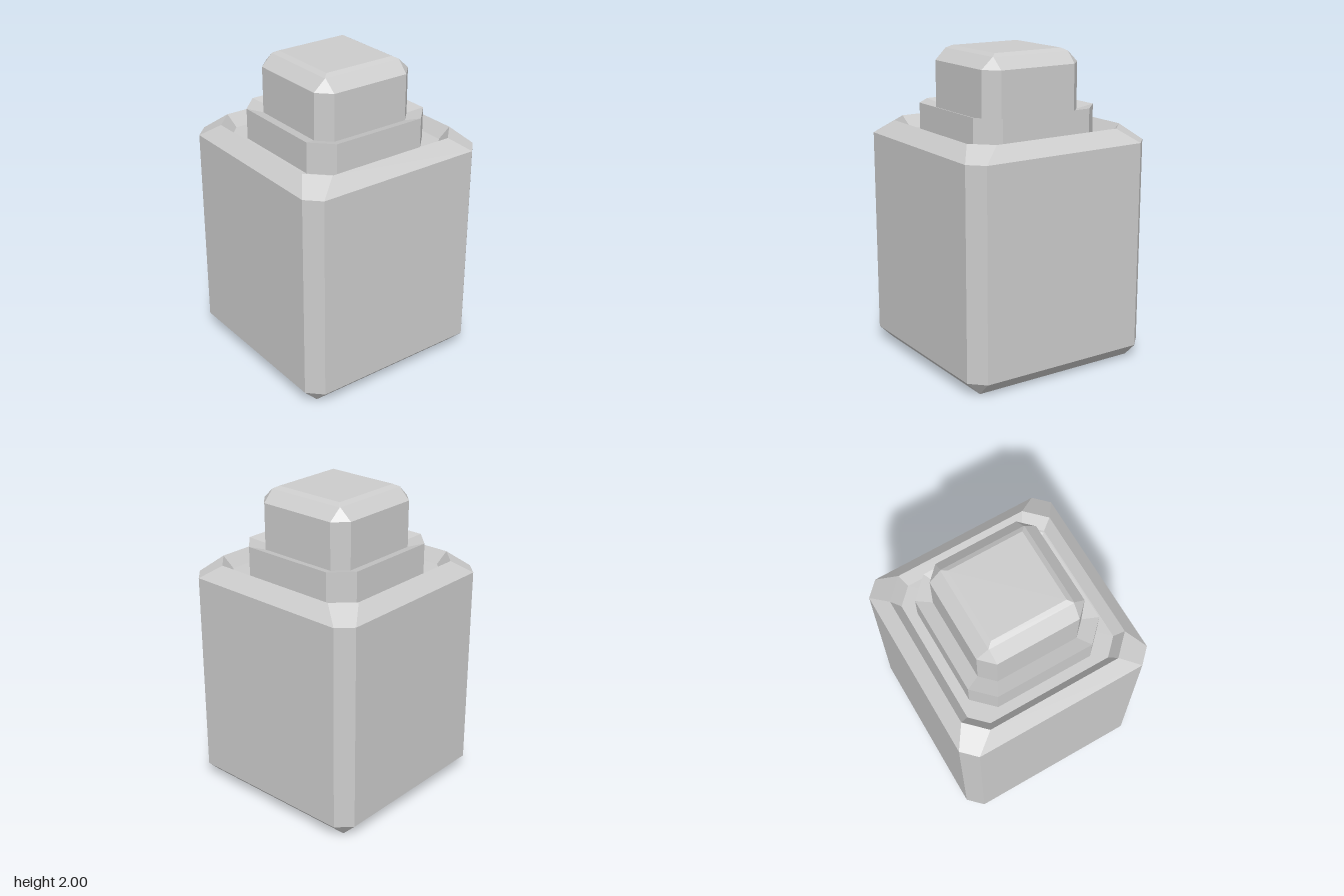
import * as THREE from 'three';

// Square cross-section with cut corners: half = half width, flat = half length of the straight side
function ring([half, flat, y]) {
  return [
    [half, flat], [flat, half], [-flat, half], [-half, flat],
    [-half, -flat], [-flat, -half], [flat, -half], [half, -flat],
  ].map(([x, z]) => new THREE.Vector3(x, y, z));
}

// Stack of sections, listed along the outside from the bottom, closed at both ends
function stack(sections) {
  const rings = sections.map(ring);
  const pos = [];
  const tri = (a, b, c) => {
    const area = b.clone().sub(a).cross(c.clone().sub(a)).length();
    if (area > 1e-9) pos.push(...a.toArray(), ...b.toArray(), ...c.toArray());
  };
  for (let i = 0; i < rings.length - 1; i++) {
    const lo = rings[i], hi = rings[i + 1];
    for (let k = 0; k < 8; k++) {
      const n = (k + 1) % 8;
      tri(lo[k], hi[k], hi[n]);
      tri(lo[k], hi[n], lo[n]);
    }
  }
  const first = rings[0], last = rings[rings.length - 1];
  for (let k = 1; k < 7; k++) {
    tri(first[0], first[k], first[k + 1]);
    tri(last[0], last[k + 1], last[k]);
  }
  const geo = new THREE.BufferGeometry();
  geo.setAttribute('position', new THREE.Float32BufferAttribute(pos, 3));
  geo.computeVertexNormals();
  return geo;
}

export function createModel() {
  const group = new THREE.Group();
  const grey = new THREE.MeshStandardMaterial({ color: 0xcccccc, flatShading: true });
  grey.name = 'light grey';

  const parts = {
    // Bevelled jar with a shallow recess in its top
    body: [
      [0.565, 0.565, 0], [0.655, 0.565, 0.09], [0.655, 0.565, 1.43],
      [0.565, 0.44, 1.52], [0.51, 0.41, 1.44],
    ],
    // Neck collar, its top dipping slightly towards the cap
    collar: [
      [0.447, 0.32, 1.43], [0.447, 0.32, 1.64], [0.355, 0.27, 1.61],
    ],
    // Cap with a double bevel
    cap: [
      [0.355, 0.27, 1.6], [0.355, 0.27, 1.91],
      [0.278, 0.275, 1.982], [0.245, 0.245, 2],
    ],
  };
  for (const [name, sections] of Object.entries(parts)) {
    const mesh = new THREE.Mesh(stack(sections), grey);
    mesh.name = name;
    group.add(mesh);
  }
  return group;
}
